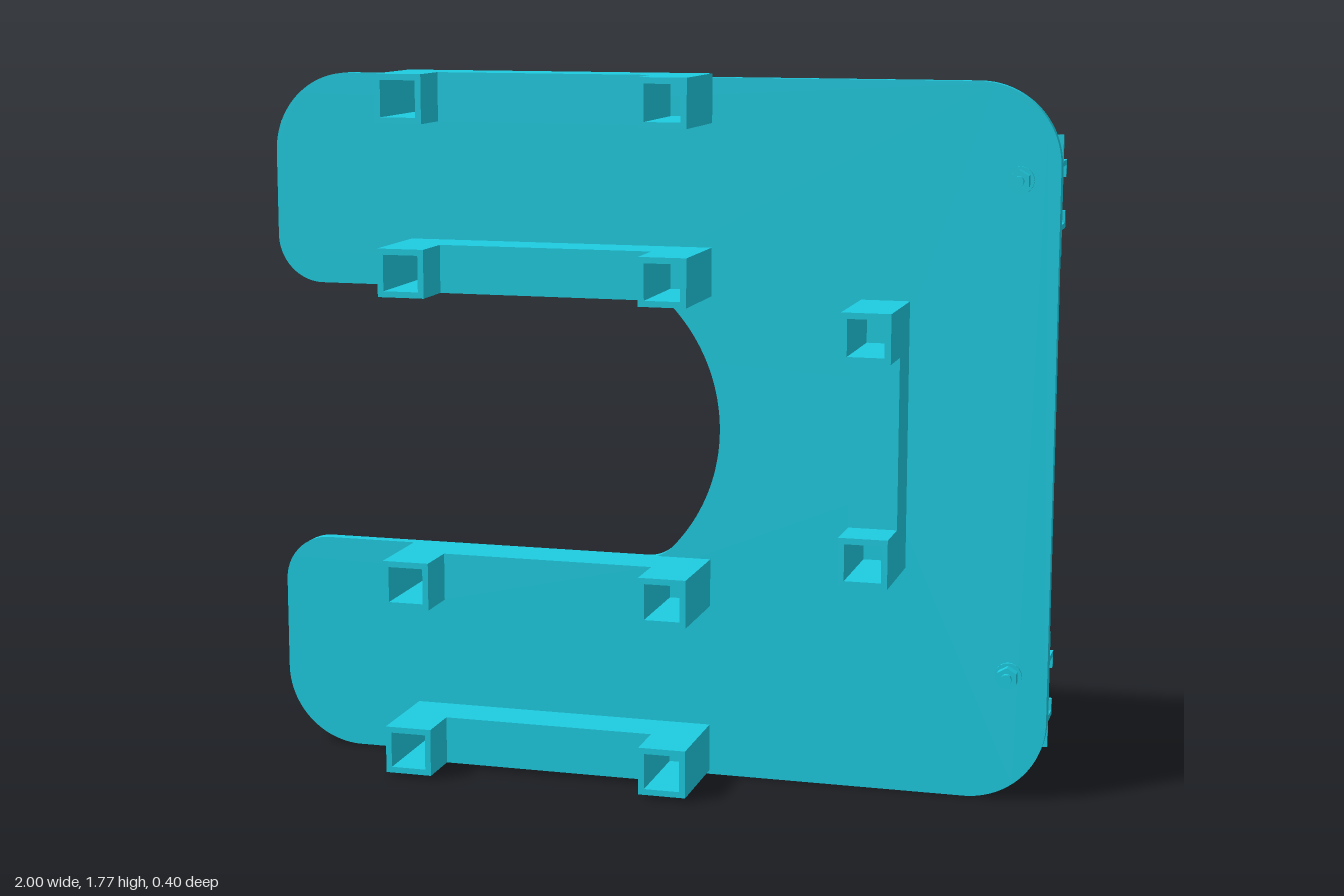
import * as THREE from 'three';

const material = new THREE.MeshStandardMaterial({ color: 0x1ecbe0, flatShading: true, side: THREE.DoubleSide });
const FRONT = -0.042, BACK = -0.072; // faces of the plate
const MID = 0.89; // height of the cutout centre

function add(parent, name, geometry, x = 0, y = 0, z = 0) {
  const mesh = new THREE.Mesh(geometry, material);
  mesh.name = name;
  mesh.position.set(x, y, z);
  parent.add(mesh);
  return mesh;
}

// Box given by its limits
function box(parent, name, x0, x1, y0, y1, z0, z1) {
  return add(parent, name, new THREE.BoxGeometry(x1 - x0, y1 - y0, z1 - z0),
    (x0 + x1) / 2, (y0 + y1) / 2, (z0 + z1) / 2);
}

// Cylinder lying along z between two depths
function rod(parent, name, radius, sides, x, y, z0, z1) {
  const g = new THREE.CylinderGeometry(radius, radius, z1 - z0, sides).rotateX(Math.PI / 2);
  return add(parent, name, g, x, y, (z0 + z1) / 2);
}

function extrude(shape, depth, curveSegments = 16) {
  return new THREE.ExtrudeGeometry(shape, { depth, bevelEnabled: false, curveSegments });
}

function hole(shape, x, y, r) {
  shape.holes.push(new THREE.Path().absarc(x, y, r, 0, Math.PI * 2, true));
}

const BARS = [1.71, 1.285, 0.5, 0.07]; // heights of the horizontal handles
const RAILS = [1.49, 0.278]; // centre heights of the slide rails
const BOLT_X = 0.905, BOLT_UP = 0.038;

// C-shaped plate with rounded corners and a bowed throat
function plate(group) {
  const P = Math.PI, r = 0.2, q = 0.12, lo = 0.555, hi = 1.225, top = 1.76;
  const s = new THREE.Shape();
  s.moveTo(-0.8, 0);
  s.absarc(1 - r, r, r, -P / 2, 0);
  s.absarc(1 - r, top - r, r, 0, P / 2);
  s.absarc(-1 + r, top - r, r, P / 2, P);
  s.absarc(-1 + q, hi + q, q, P, P * 1.5);
  s.lineTo(-0.02, hi);
  s.quadraticCurveTo(0.03, hi, 0.068, MID + 0.285);
  const a = Math.asin(0.285 / 0.44);
  s.absarc(-0.267, MID, 0.44, a, -a, true);
  s.quadraticCurveTo(0.03, lo, -0.02, lo);
  s.lineTo(-1 + q, lo);
  s.absarc(-1 + q, lo - q, q, P / 2, P);
  s.absarc(-1 + r, r, r, P, P * 1.5);
  // Mounting holes behind the handles
  for (const y of BARS) for (const x of [-0.45, -0.03]) hole(s, x, y, 0.011);
  for (const d of [-0.133, 0.133]) hole(s, 0.585, 0.9 + d, 0.011);
  add(group, 'plate', extrude(s, FRONT - BACK), 0, 0, BACK);
}

// Handle: a bar with a hollow square leg at either end, along x
function handle(name, length) {
  const h = new THREE.Group();
  h.name = name;
  const w = 0.06, i = 0.045;
  for (const side of [-1, 1]) {
    const s = new THREE.Shape([[-w, -w], [w, -w], [w, w], [-w, w]].map(p => new THREE.Vector2(...p)));
    s.holes.push(new THREE.Path([[-i, -i], [-i, i], [i, i], [i, -i]].map(p => new THREE.Vector2(...p))));
    add(h, 'handleLeg', extrude(s, 0.198 - FRONT), side * (length / 2 - w), 0, FRONT);
  }
  const half = length / 2 - 2 * w;
  box(h, 'handleBar', -half, half, -w, w, FRONT, 0.08);
  return h;
}

// Slide rail: flanged channel, inner carriage, cover plate and through bolt
function slideRail() {
  const rail = new THREE.Group();
  rail.name = 'slideRail';
  const b = -BACK, f = 0.084, d = 0.147, t = 0.013;
  // Channel section as (depth behind, height)
  const section = [
    [b, -0.145], [f, -0.145], [f, -0.082], [d, -0.082], [d, -0.04], [d - t, -0.04],
    [d - t, -0.069], [f, -0.069], [f, 0.069], [d - t, 0.069], [d - t, 0.04],
    [d, 0.04], [d, 0.082], [f, 0.082], [f, 0.145], [b, 0.145],
  ].map(p => new THREE.Vector2(...p));
  add(rail, 'railChannel', extrude(new THREE.Shape(section), 2).rotateY(Math.PI / 2), -1);

  // Row of teeth along the upper lip
  for (let i = 0; i < 7; i++) {
    const x = -0.98 + i * 0.026;
    box(rail, 'railTooth', x, x + 0.013, 0.03, 0.04, -d, -d + t);
  }
  // Small screws at the ends of the flanges
  for (const x of [-0.95, 0.95]) for (const y of [-0.114, 0.114]) {
    rod(rail, 'flangeScrew', 0.011, 12, x, y, -f - 0.002, -f);
  }

  // Carriage running inside the channel and its web to the cover
  box(rail, 'carriage', -0.98, 0.96, -0.03, 0.008, -0.13, -0.1);
  box(rail, 'carriageWeb', -0.82, 0.96, -0.015, 0.008, -0.165, -0.128);

  // Cover plate, rounded at the bolted end
  const c = new THREE.Shape();
  const w = 0.09, r = 0.03;
  c.moveTo(-0.82, -w);
  c.absarc(0.96 - r, -w + r, r, -Math.PI / 2, 0);
  c.absarc(0.96 - r, w - r, r, 0, Math.PI / 2);
  c.lineTo(-0.82, w);
  add(rail, 'slideCover', extrude(c, 0.015, 6), 0, 0, -0.178);
  for (const y of [-0.065, 0.065]) rod(rail, 'coverRivet', 0.009, 12, -0.795, y, -0.181, -0.177);

  // Bolt with head, spacer, washer and nut
  const bolt = new THREE.Group();
  bolt.name = 'bolt';
  bolt.position.set(BOLT_X, BOLT_UP, 0);
  rail.add(bolt);
  rod(bolt, 'boltShaft', 0.013, 16, 0, 0, -0.19, 0.003);
  rod(bolt, 'boltHead', 0.028, 6, 0, 0, -0.198, -0.178);
  rod(bolt, 'boltSpacer', 0.02, 16, 0, 0, -0.164, -0.147);
  rod(bolt, 'washer', 0.033, 20, 0, 0, FRONT, -0.035);
  rod(bolt, 'nut', 0.027, 6, 0, 0, -0.035, -0.01);
  return rail;
}

export function createModel() {
  const group = new THREE.Group();
  group.name = 'mountingPlate';
  plate(group);

  for (const y of BARS) {
    const h = handle('horizontalHandle', 0.785);
    h.position.set(-0.2425, y, 0);
    group.add(h);
  }
  const upright = handle('uprightHandle', 0.66);
  upright.rotation.z = Math.PI / 2;
  upright.position.set(0.585, 0.9, 0);
  group.add(upright);

  for (const y of RAILS) {
    const rail = slideRail();
    rail.position.y = y;
    group.add(rail);
  }
  return group;
}
